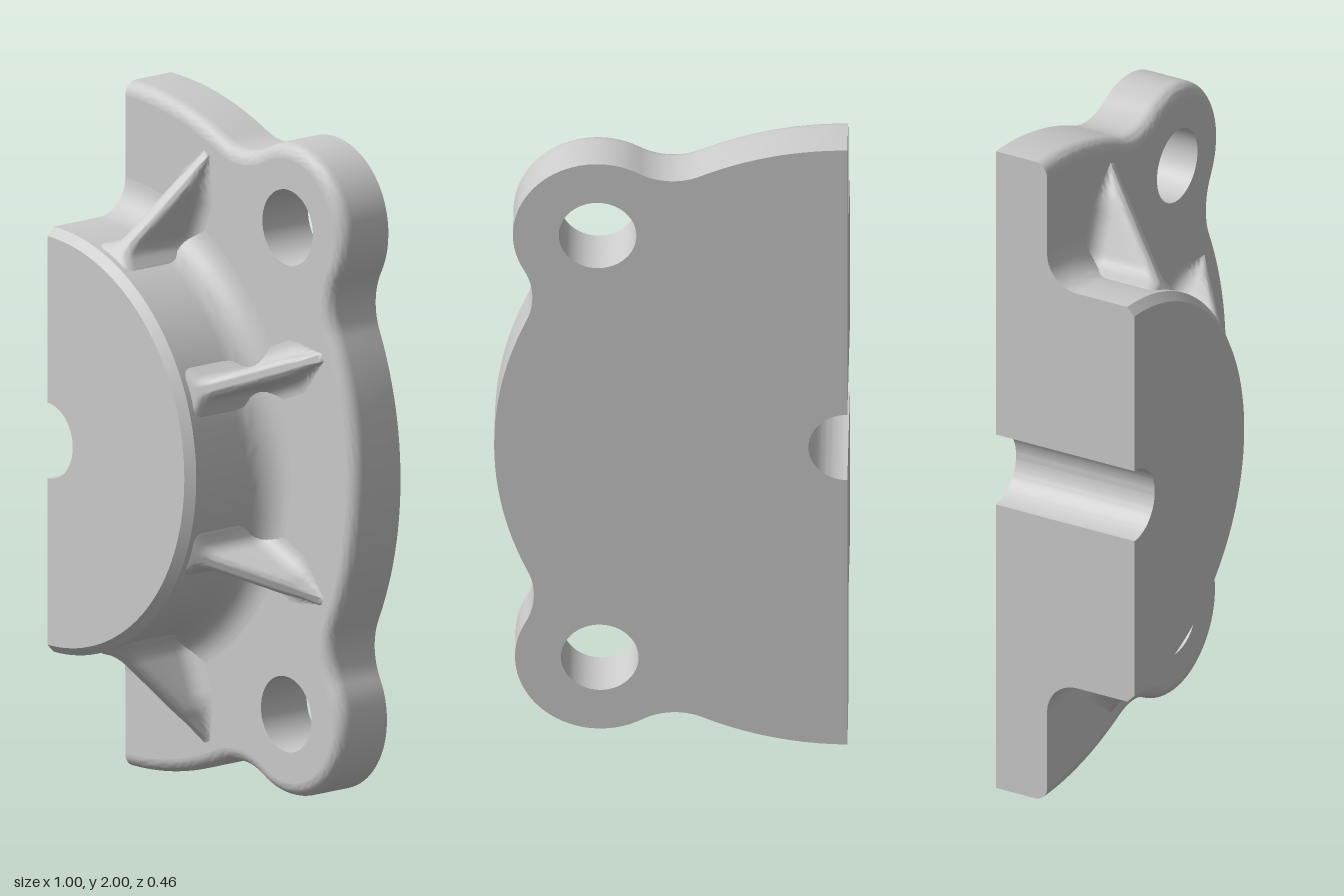
import * as THREE from 'three';
import { toCreasedNormals } from 'three/addons/utils/BufferGeometryUtils.js';

const BACK = -0.23, FLANGE = -0.06, FRONT = 0.23; // z levels
const BORE = 0.11, BOSS = 0.62, CHAMFER = 0.024, FILLET = 0.1, ROUND = 0.04;
const EAR = 0.24, NECK = 0.19, BOLT = 0.11;
const EAR_ANGLES = [-45.5, 45].map(THREE.MathUtils.degToRad);
const RIB_ANGLES = [-67.5, -22.5, 22.5, 67.5].map(THREE.MathUtils.degToRad);

// Surface through a grid of points: rows x columns
function grid(rows) {
  const n = rows[0].length, index = [];
  for (let i = 0; i < rows.length - 1; i++) {
    for (let j = 0; j < n - 1; j++) {
      const a = i * n + j, b = a + n;
      index.push(a, b, b + 1, a, b + 1, a + 1);
    }
  }
  const g = new THREE.BufferGeometry();
  g.setAttribute('position', new THREE.Float32BufferAttribute(rows.flat(2), 3));
  g.setIndex(index);
  g.computeVertexNormals();
  return g;
}

// Flange outline: half circle with two ears blended in by concave necks.
// Each entry holds a point and its outward normal.
function outline() {
  const out = [];
  const arc = (cx, cy, r, a0, a1, sign = 1, n = 16) => {
    for (let i = out.length ? 1 : 0; i <= n; i++) {
      const a = a0 + (a1 - a0) * i / n, c = Math.cos(a), s = Math.sin(a);
      out.push({ x: cx + r * c, y: cy + r * s, nx: sign * c, ny: sign * s });
    }
  };
  const d = 1 + NECK;
  const A = Math.acos((1 + d * d - (EAR + NECK) ** 2) / (2 * d));
  const E = Math.atan2(d * Math.sin(A), d * Math.cos(A) - 1);
  let from = -Math.PI / 2;
  for (const b of EAR_ANGLES) {
    arc(0, 0, 1, from, b - A, 1, 24);
    arc(d * Math.cos(b - A), d * Math.sin(b - A), NECK, b + Math.PI - A, b + Math.PI - E, -1);
    arc(Math.cos(b), Math.sin(b), EAR, b - E, b + E, 1, 32);
    arc(d * Math.cos(b + A), d * Math.sin(b + A), NECK, b - Math.PI + E, b - Math.PI + A, -1);
    from = b + A;
  }
  arc(0, 0, 1, from, Math.PI / 2, 1, 24);
  return out;
}

// Flat flange face with bolt holes and a central half-round opening
function faceShape(edge, inset, opening, flip) {
  const pts = edge.map(p => new THREE.Vector2(flip * (p.x - p.nx * inset), p.y - p.ny * inset));
  for (let i = 0; i <= 32; i++) {
    const a = Math.PI / 2 - Math.PI * i / 32;
    pts.push(new THREE.Vector2(flip * opening * Math.cos(a), opening * Math.sin(a)));
  }
  const shape = new THREE.Shape(pts);
  for (const b of EAR_ANGLES) {
    shape.holes.push(new THREE.Path().absarc(flip * Math.cos(b), Math.sin(b), BOLT, 0, Math.PI * 2));
  }
  return new THREE.ShapeGeometry(shape, 24);
}

// Sloping rib with rounded crest and flared foot, lying along +x
function ribGeometry() {
  const rows = [], R0 = BOSS - 0.01, R1 = 0.93, w = 0.028, flare = 0.05, Q = Math.PI / 2;
  for (let i = 0; i <= 28; i++) {
    const r = R0 + (R1 - R0) * i / 28;
    const H = Math.max(0.001, (R1 - r) * 0.8);
    const f = Math.min(flare, H / 2), t = Math.min(w, H / 2);
    // widen where the rib runs into the boss
    const k = THREE.MathUtils.clamp(flare - (r - BOSS), 0, flare);
    const spread = flare - Math.sqrt(Math.max(0, flare * flare - k * k));
    const half = w * Math.min(1, 0.4 + H * 8) + spread;
    const side = [];
    for (let j = 0; j <= 6; j++) {
      const a = Q * j / 6;
      side.push([half + f - f * Math.sin(a), f - f * Math.cos(a)]);
    }
    for (let j = 0; j <= 6; j++) {
      const a = Q * j / 6;
      side.push([Math.max(0, half - t) + Math.min(t, half) * Math.cos(a), H - t + t * Math.sin(a)]);
    }
    rows.push([
      ...side.map(([s, h]) => [r, -s, FLANGE + h]),
      ...side.slice().reverse().map(([s, h]) => [r, s, FLANGE + h]),
    ]);
  }
  return grid(rows);
}

export function createModel() {
  const group = new THREE.Group();
  const body = new THREE.Group();
  body.name = 'halfFlange';
  body.position.set(-0.5, 1, 0);
  group.add(body);
  const mat = new THREE.MeshStandardMaterial({ color: 0xcccccc });
  const matDouble = new THREE.MeshStandardMaterial({ color: 0xcccccc, side: THREE.DoubleSide });
  const add = (name, geo, m = mat) => {
    const mesh = new THREE.Mesh(geo, m);
    mesh.name = name;
    body.add(mesh);
    return mesh;
  };

  // Flange rim with rounded front edge
  const edge = outline();
  const rimProfile = [[0, BACK]];
  for (let i = 0; i <= 8; i++) {
    const a = Math.PI / 2 * i / 8;
    rimProfile.push([ROUND * (1 - Math.cos(a)), FLANGE - ROUND + ROUND * Math.sin(a)]);
  }
  add('flangeRim', toCreasedNormals(grid(edge.map(p =>
    rimProfile.map(([d, z]) => [p.x - p.nx * d, p.y - p.ny * d, z]))), 0.6));

  // Flange faces
  add('flangeFront', faceShape(edge, ROUND, BOSS, 1)).position.z = FLANGE;
  const back = add('flangeBack', faceShape(edge, 0, BORE, -1));
  back.rotation.y = Math.PI;
  back.position.z = BACK;

  // Bolt holes
  for (const b of EAR_ANGLES) {
    const hole = new THREE.CylinderGeometry(BOLT, BOLT, FLANGE - BACK, 48, 1, true).rotateX(Math.PI / 2);
    add('boltHole', hole, matDouble).position.set(Math.cos(b), Math.sin(b), (FLANGE + BACK) / 2);
  }

  // Boss: base fillet, wall, chamfer, top and bore, turned through half a circle
  const boss = [];
  for (let i = 0; i <= 10; i++) {
    const a = Math.PI / 2 * i / 10;
    boss.push(new THREE.Vector2(BOSS + FILLET * (1 - Math.sin(a)), FLANGE + FILLET * (1 - Math.cos(a))));
  }
  boss.push(
    new THREE.Vector2(BOSS, FRONT - CHAMFER), new THREE.Vector2(BOSS - CHAMFER, FRONT),
    new THREE.Vector2(BORE, FRONT), new THREE.Vector2(BORE, BACK));
  const bossGeo = new THREE.LatheGeometry(boss, 72, 0, Math.PI).rotateX(Math.PI / 2);
  add('boss', toCreasedNormals(bossGeo, 0.5));

  // Flat cut faces above and below the bore
  for (const s of [1, -1]) {
    const pts = [
      ...rimProfile.map(([d, z]) => new THREE.Vector2(z, s * (1 - d))),
      ...boss.map(p => new THREE.Vector2(p.y, s * p.x)),
    ];
    add('cutFace', new THREE.ShapeGeometry(new THREE.Shape(pts)).rotateY(-Math.PI / 2));
  }

  // Ribs
  const rib = toCreasedNormals(ribGeometry(), 0.9);
  for (const a of RIB_ANGLES) add('rib', rib).rotation.z = a;

  return group;
}
